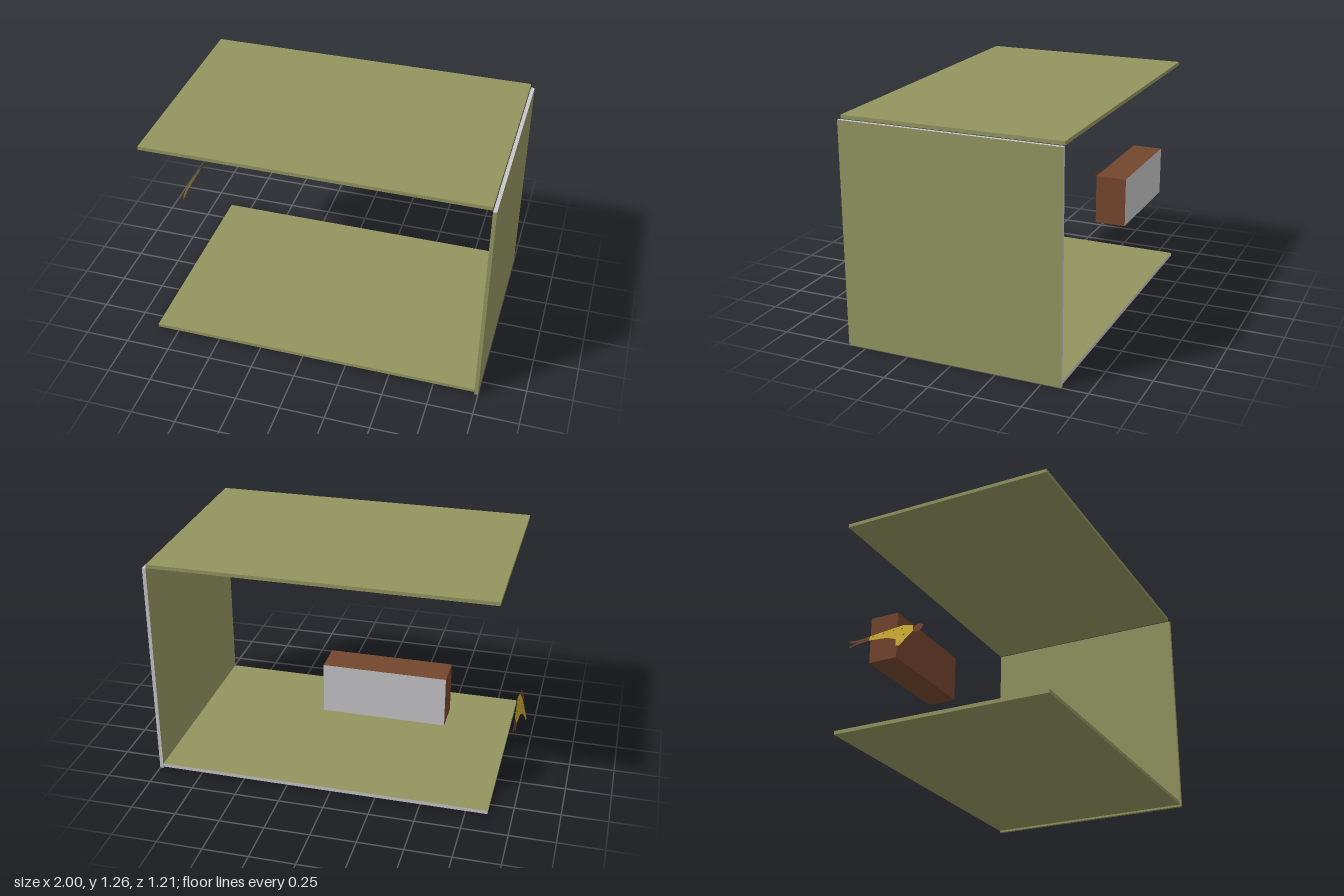
import * as THREE from 'three';

const mat = (name, color, side = THREE.FrontSide) => {
  const m = new THREE.MeshStandardMaterial({ color, side });
  m.name = name;
  return m;
};

export function createModel() {
  const model = new THREE.Group();
  const olive = mat('olive paint', 0x92955f);
  const grey = mat('bare grey', 0xc6c6c8);
  const brown = mat('brown wood', 0x74462d);
  const skin = mat('brown skin', 0x6b3f2c, THREE.DoubleSide);
  const dress = mat('yellow cloth', 0xc2a22e, THREE.DoubleSide);
  const spots = mat('grey spots', 0x9a958c, THREE.DoubleSide);

  // Box between two corners; bare lists unpainted sides (+x -x +y -y +z -z = 0..5)
  function panel(name, paint, lo, hi, bare) {
    const size = hi.map((h, i) => h - lo[i]);
    const sides = [0, 1, 2, 3, 4, 5].map(i => (bare.includes(i) ? grey : paint));
    const mesh = new THREE.Mesh(new THREE.BoxGeometry(...size), sides);
    mesh.position.set(...hi.map((h, i) => (h + lo[i]) / 2));
    mesh.name = name;
    model.add(mesh);
  }
  panel('floorPanel', olive, [-0.87, 0.01, -0.605], [0.978, 0.03, 0.598], [5]);
  panel('roofPanel', olive, [-0.87, 1.237, -0.605], [0.978, 1.257, 0.597], []);
  panel('sideWall', olive, [0.98, 0, -0.605], [1, 1.235, 0.605], [2, 5]);
  panel('floatingBlock', brown, [-0.615, 0.515, -0.59], [0.03, 0.785, -0.42], [5]);

  // Flat reclining figure, drawn as (z, y) outlines on a leaning plane
  const figure = new THREE.Group();
  figure.name = 'recliningFigure';
  model.add(figure);
  function flat(name, material, points, offset = 0) {
    const shape = new THREE.Shape(points.map(p => new THREE.Vector2(...p)));
    const geo = new THREE.ShapeGeometry(shape);
    const pos = geo.attributes.position;
    for (let i = 0; i < pos.count; i++) {
      const z = pos.getX(i), y = pos.getY(i);
      pos.setXYZ(i, -0.965 + 0.39 * (y - 0.45) + offset, y, z);
    }
    geo.computeVertexNormals();
    const mesh = new THREE.Mesh(geo, material);
    mesh.name = name;
    figure.add(mesh);
  }
  flat('head', skin, [[-0.1, 0.445], [-0.075, 0.43], [-0.05, 0.445], [-0.05, 0.475], [-0.08, 0.487], [-0.1, 0.475]]);
  flat('dress', dress, [
    [-0.1, 0.44], [-0.13, 0.4], [-0.155, 0.36], [-0.18, 0.365], [-0.19, 0.41],
    [-0.25, 0.435], [-0.36, 0.445], [-0.36, 0.475], [-0.25, 0.49], [-0.17, 0.5], [-0.11, 0.485],
  ]);
  flat('upperLeg', skin, [[-0.36, 0.46], [-0.36, 0.475], [-0.43, 0.465], [-0.48, 0.47], [-0.48, 0.458], [-0.43, 0.452]]);
  flat('lowerLeg', skin, [[-0.36, 0.445], [-0.36, 0.46], [-0.43, 0.45], [-0.475, 0.432], [-0.47, 0.422], [-0.43, 0.436]]);

  // Cloth pattern on both faces
  const dots = [[-0.12, 0.46], [-0.15, 0.43], [-0.165, 0.385], [-0.17, 0.475], [-0.2, 0.445],
    [-0.22, 0.475], [-0.25, 0.455], [-0.28, 0.472], [-0.31, 0.455], [-0.34, 0.465]];
  dots.forEach(([z, y], i) => {
    const r = 0.006;
    const diamond = [[z - r, y], [z, y - r], [z + r, y], [z, y + r]];
    for (const side of [-1, 1]) flat('clothSpot', i % 2 ? skin : spots, diamond, side * 0.002);
  });
  return model;
}
